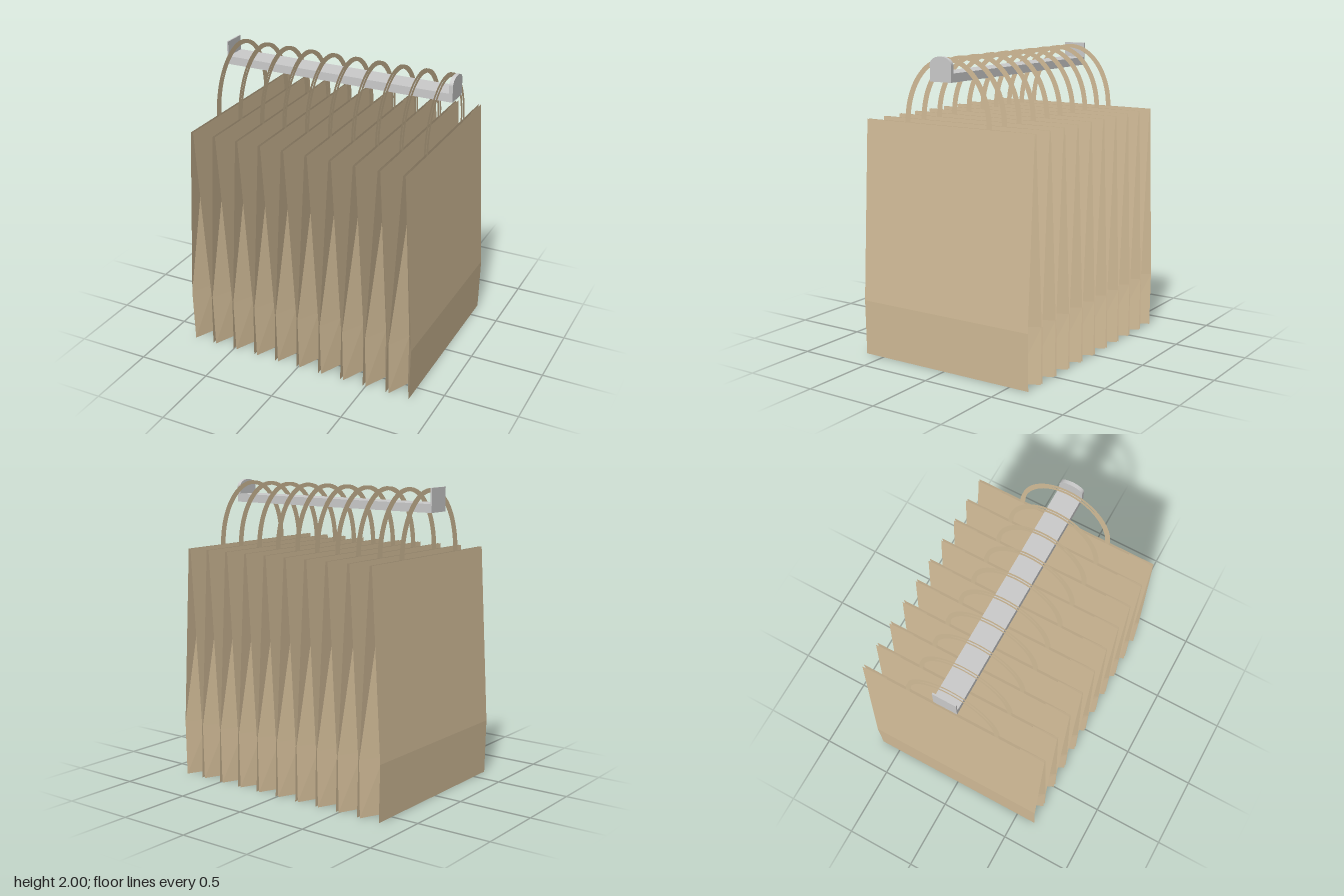
import * as THREE from 'three';

const COUNT = 10, SPACING = 0.1637;
const HALF_DEPTH = 0.64, TOP = 1.57, TOP_HALF = 0.008;

// Gusseted paper bag: six-point cross-sections with folded-in ends, open top
function bagGeometry() {
  const levels = [[0, 0.071], [0.37, 0.0785], [TOP, TOP_HALF]]; // height, half width
  const fold = 0.172; // constant paper width of one gusset half
  const rings = levels.map(([y, w]) => {
    const inner = HALF_DEPTH - Math.sqrt(fold * fold - w * w);
    return [[w, HALF_DEPTH], [w, -HALF_DEPTH], [0, -inner],
      [-w, -HALF_DEPTH], [-w, HALF_DEPTH], [0, inner]].map(([x, z]) => [x, y, z]);
  });
  const pos = [];
  const tri = (...pts) => pts.forEach((p) => pos.push(...p));
  for (let i = 0; i < 6; i++) {
    const j = (i + 1) % 6;
    for (let k = 0; k < rings.length - 1; k++) {
      const a = rings[k], b = rings[k + 1];
      tri(a[i], a[j], b[j]);
      tri(a[i], b[j], b[i]);
    }
    tri([0, 0, 0], rings[0][j], rings[0][i]); // base
  }
  const g = new THREE.BufferGeometry();
  g.setAttribute('position', new THREE.Float32BufferAttribute(pos, 3));
  g.computeVertexNormals();
  return g;
}

// Flat arched strip standing in the y-z plane
function handleGeometry() {
  const s = new THREE.Shape();
  s.moveTo(0.325, 0);
  s.absellipse(0, 0, 0.325, 0.422, 0, Math.PI, false);
  s.lineTo(-0.297, 0);
  s.absellipse(0, 0, 0.297, 0.397, Math.PI, 0, true);
  s.closePath();
  return new THREE.ShapeGeometry(s, 24).rotateY(Math.PI / 2);
}

// End stop with an arched top
function roundedStopGeometry(thickness) {
  const s = new THREE.Shape();
  s.moveTo(-0.08, 1.845);
  s.lineTo(0.08, 1.845);
  s.lineTo(0.08, 1.95);
  s.absellipse(0, 1.95, 0.08, 0.05, 0, Math.PI, false);
  s.closePath();
  return new THREE.ExtrudeGeometry(s, { depth: thickness, bevelEnabled: false, curveSegments: 16 })
    .rotateY(Math.PI / 2);
}

export function createModel() {
  const model = new THREE.Group();
  const paper = new THREE.MeshStandardMaterial({ color: 0xd2bc98, side: THREE.DoubleSide });
  const metal = new THREE.MeshStandardMaterial({ color: 0xcccccc });
  const add = (parent, name, geometry, material, x = 0, y = 0) => {
    const mesh = new THREE.Mesh(geometry, material);
    mesh.name = name;
    mesh.position.set(x, y, 0);
    parent.add(mesh);
  };

  // Row of bags, each with a handle on both panels
  const bagGeo = bagGeometry(), handleGeo = handleGeometry();
  for (let i = 0; i < COUNT; i++) {
    const bag = new THREE.Group();
    bag.name = 'bag' + (i + 1);
    bag.position.x = (i - (COUNT - 1) / 2) * SPACING;
    add(bag, 'bagBody', bagGeo, paper);
    add(bag, 'leftHandle', handleGeo, paper, TOP_HALF, TOP);
    add(bag, 'rightHandle', handleGeo, paper, -TOP_HALF, TOP);
    model.add(bag);
  }

  // Hanging rail with a square stop and an arched stop
  const rail = new THREE.Group();
  rail.name = 'rail';
  add(rail, 'railBar', new THREE.BoxGeometry(1.58, 0.055, 0.16), metal, -0.005, 1.8725);
  add(rail, 'squareStop', new THREE.BoxGeometry(0.01, 0.155, 0.16), metal, -0.793, 1.9225);
  add(rail, 'roundedStop', roundedStopGeometry(0.025), metal, 0.78);
  model.add(rail);
  return model;
}
